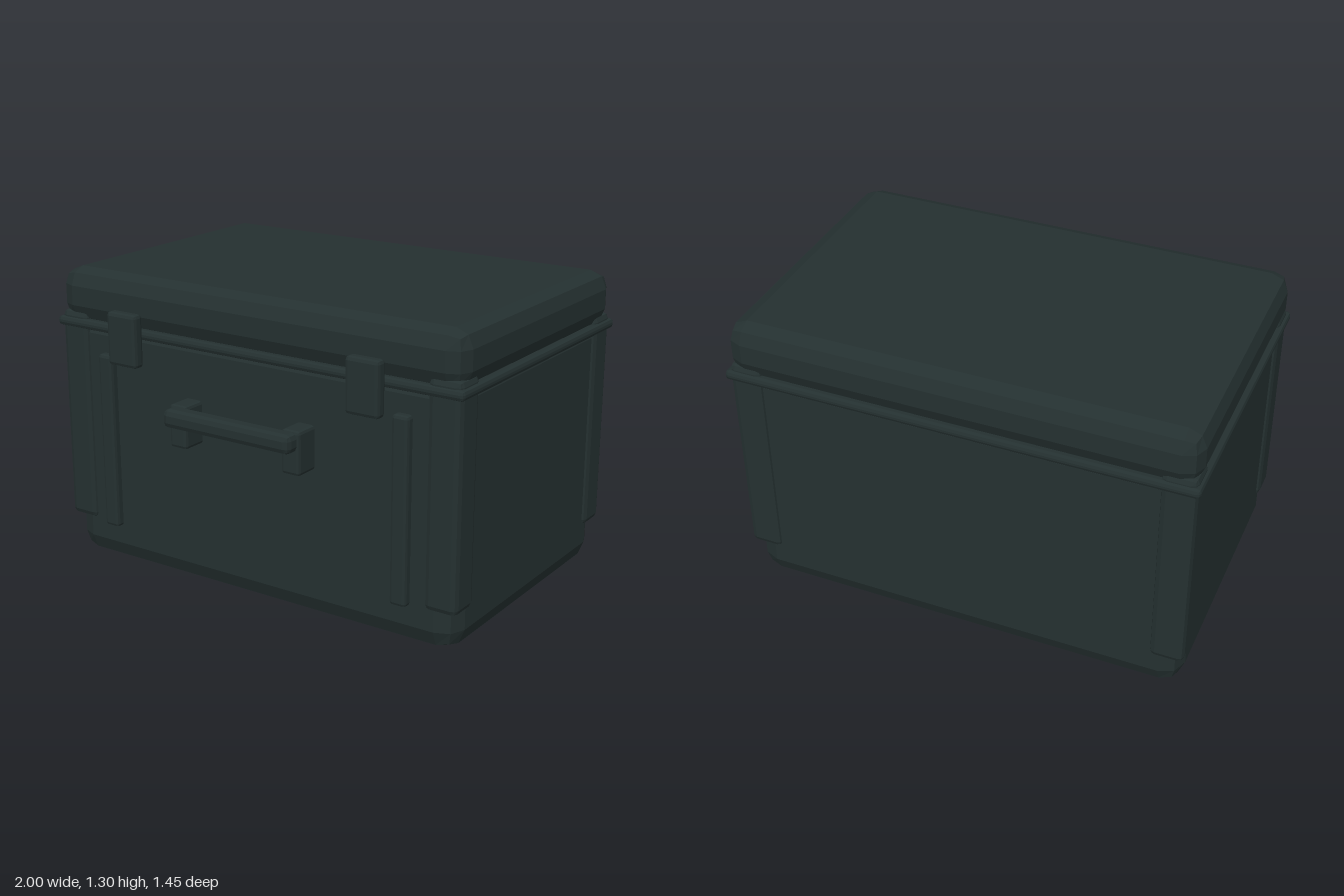
import * as THREE from 'three';
import { RoundedBoxGeometry } from 'three/addons/geometries/RoundedBoxGeometry.js';

const darkGreenPlastic = new THREE.MeshStandardMaterial({ color: 0x243030 });
darkGreenPlastic.name = 'darkGreenPlastic';

// Box with a two-step faceted bevel, given by its extents on each axis
function bevelBox(name, [x0, x1], [y0, y1], [z0, z1], bevel) {
  const geometry = new RoundedBoxGeometry(x1 - x0, y1 - y0, z1 - z0, 1, bevel);
  geometry.computeVertexNormals(); // unshared vertices give flat facets
  const mesh = new THREE.Mesh(geometry, darkGreenPlastic);
  mesh.name = name;
  mesh.position.set((x0 + x1) / 2, (y0 + y1) / 2, (z0 + z1) / 2);
  return mesh;
}

export function createModel() {
  const chest = new THREE.Group();
  chest.name = 'storageCase';

  // Main shell, sealing rim and lid
  chest.add(bevelBox('body', [-0.97, 0.97], [0, 1.12], [-0.69, 0.56], 0.09));
  chest.add(bevelBox('rim', [-1, 1], [1.048, 1.09], [-0.72, 0.588], 0.016));
  chest.add(bevelBox('lid', [-0.99, 0.99], [1.07, 1.305], [-0.712, 0.58], 0.075));

  // Parts mirrored left and right
  for (const [side, s] of [['left', 1], ['right', -1]]) {
    const span = (a, b) => (s > 0 ? [a, b] : [-b, -a]);
    chest.add(bevelBox(side + 'FrontCornerPost', span(0.84, 0.985), [0.18, 1.12], [0.43, 0.575], 0.025));
    chest.add(bevelBox(side + 'BackCornerPost', span(0.84, 0.985), [0.18, 1.12], [-0.705, -0.56], 0.025));
    chest.add(bevelBox(side + 'FrontRib', span(0.697, 0.772), [0.175, 0.955], [0.535, 0.595], 0.014));
    chest.add(bevelBox(side + 'Latch', span(0.517, 0.67), [0.935, 1.165], [0.588, 0.643], 0.016));
    chest.add(bevelBox(side + 'HandleMount', span(0.238, 0.325), [0.645, 0.83], [0.54, 0.667], 0.014));
  }

  // Carrying handle
  chest.add(bevelBox('handleBar', [-0.315, 0.315], [0.745, 0.826], [0.642, 0.727], 0.025));

  return chest;
}
